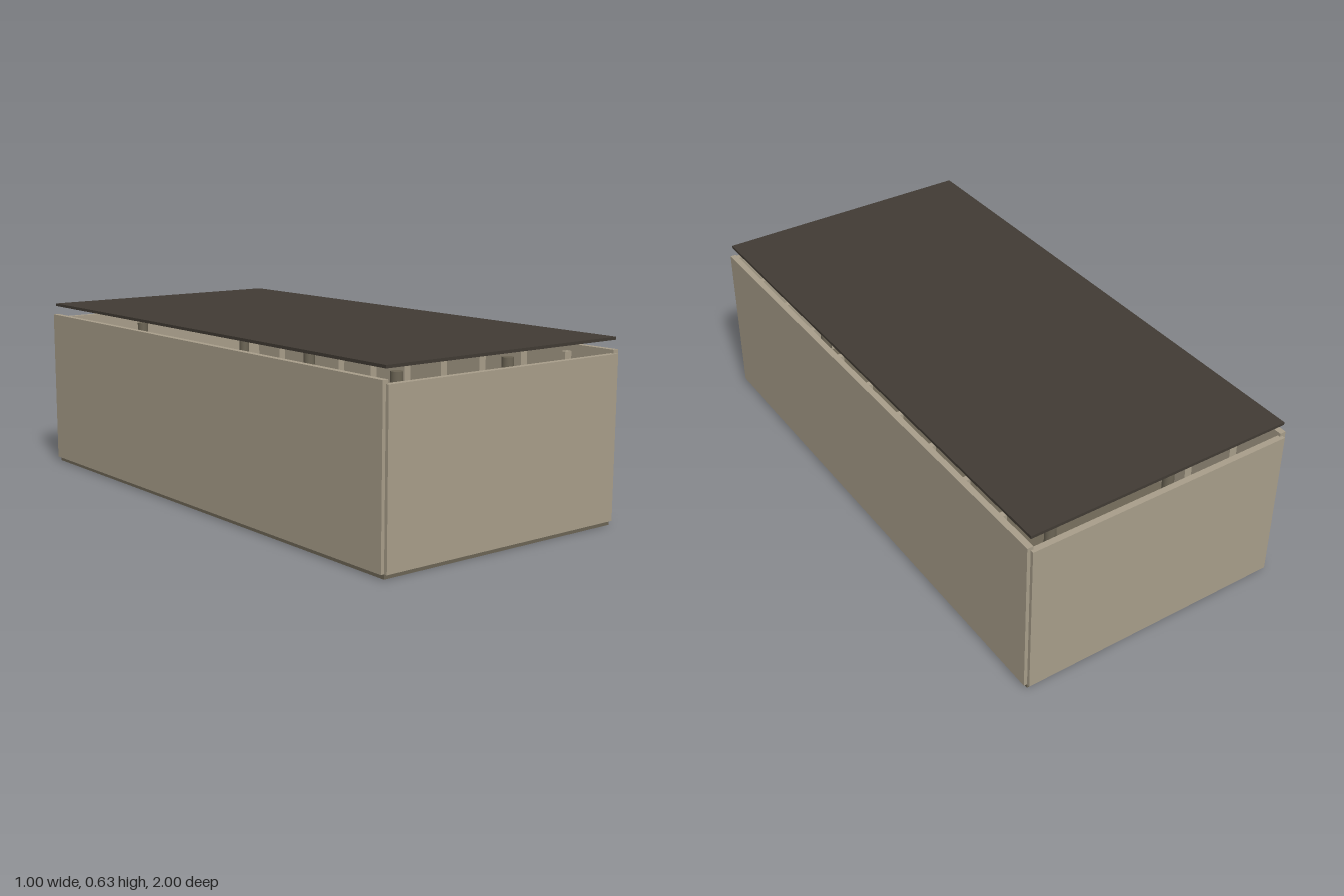
import * as THREE from 'three';

const material = (name, color) => {
  const m = new THREE.MeshStandardMaterial({ color });
  m.name = name;
  return m;
};

export function createModel() {
  const model = new THREE.Group();
  model.name = 'enclosure';
  const tan = material('warmTan', 0xa89e8a);
  const olive = material('darkOlive', 0x6c6555);
  const dark = material('darkBrown', 0x413b34);

  const add = (name, geometry, mat, x, y, z, parent = model) => {
    const mesh = new THREE.Mesh(geometry, mat);
    mesh.name = name;
    mesh.position.set(x, y, z);
    parent.add(mesh);
    return mesh;
  };
  // Box given by its size, bottom height and centre in x and z
  const box = (name, mat, w, h, d, x, y, z) =>
    add(name, new THREE.BoxGeometry(w, h, d), mat, x, y + h / 2, z);

  // Floor and raised lid
  box('floor', olive, 0.976, 0.016, 1.976, 0, 0, 0);
  box('lid', dark, 0.976, 0.01, 1.976, 0, 0.617, 0);

  // Side walls stand a little taller than the end walls
  for (const s of [1, -1]) {
    box(s > 0 ? 'leftWall' : 'rightWall', tan, 0.022, 0.569, 1.976, s * 0.489, 0.016, 0);
    box(s > 0 ? 'frontWall' : 'backWall', tan, 0.976, 0.557, 0.022, 0, 0.016, s * 0.989);
  }

  // Ribs along the inside of the side walls
  for (const s of [1, -1]) {
    for (let i = -4; i <= 4; i++) {
      box('wallRib', tan, 0.03, 0.545, 0.02, s * 0.463, 0.016, i * 0.2);
    }
  }

  // Inner support posts
  for (const x of [-0.24, 0.24]) {
    for (const z of [-0.75, 0.75]) {
      add('post', new THREE.CylinderGeometry(0.02, 0.02, 0.54, 16), olive, x, 0.286, z);
    }
  }

  // Central rotor: shaft, hub and four flat tapered arms
  const rotor = new THREE.Group();
  rotor.name = 'rotor';
  model.add(rotor);
  add('shaft', new THREE.CylinderGeometry(0.02, 0.02, 0.57, 20), olive, 0, 0.301, 0, rotor);
  add('hub', new THREE.CylinderGeometry(0.057, 0.057, 0.009, 32), olive, 0, 0.584, 0, rotor);
  add('hubPlate', new THREE.CylinderGeometry(0.075, 0.075, 0.01, 32), tan, 0, 0.593, 0, rotor);
  const arm = new THREE.Shape([
    [0.03, -0.045], [0.215, -0.025], [0.225, 0], [0.215, 0.025], [0.03, 0.045],
  ].map(([x, y]) => new THREE.Vector2(x, y)));
  const armGeometry = new THREE.ExtrudeGeometry(arm, { depth: 0.01, bevelEnabled: false });
  armGeometry.rotateX(-Math.PI / 2);
  for (let i = 0; i < 4; i++) {
    add('arm', armGeometry, tan, 0, 0.588, 0, rotor).rotation.y = i * Math.PI / 2;
  }
  return model;
}
